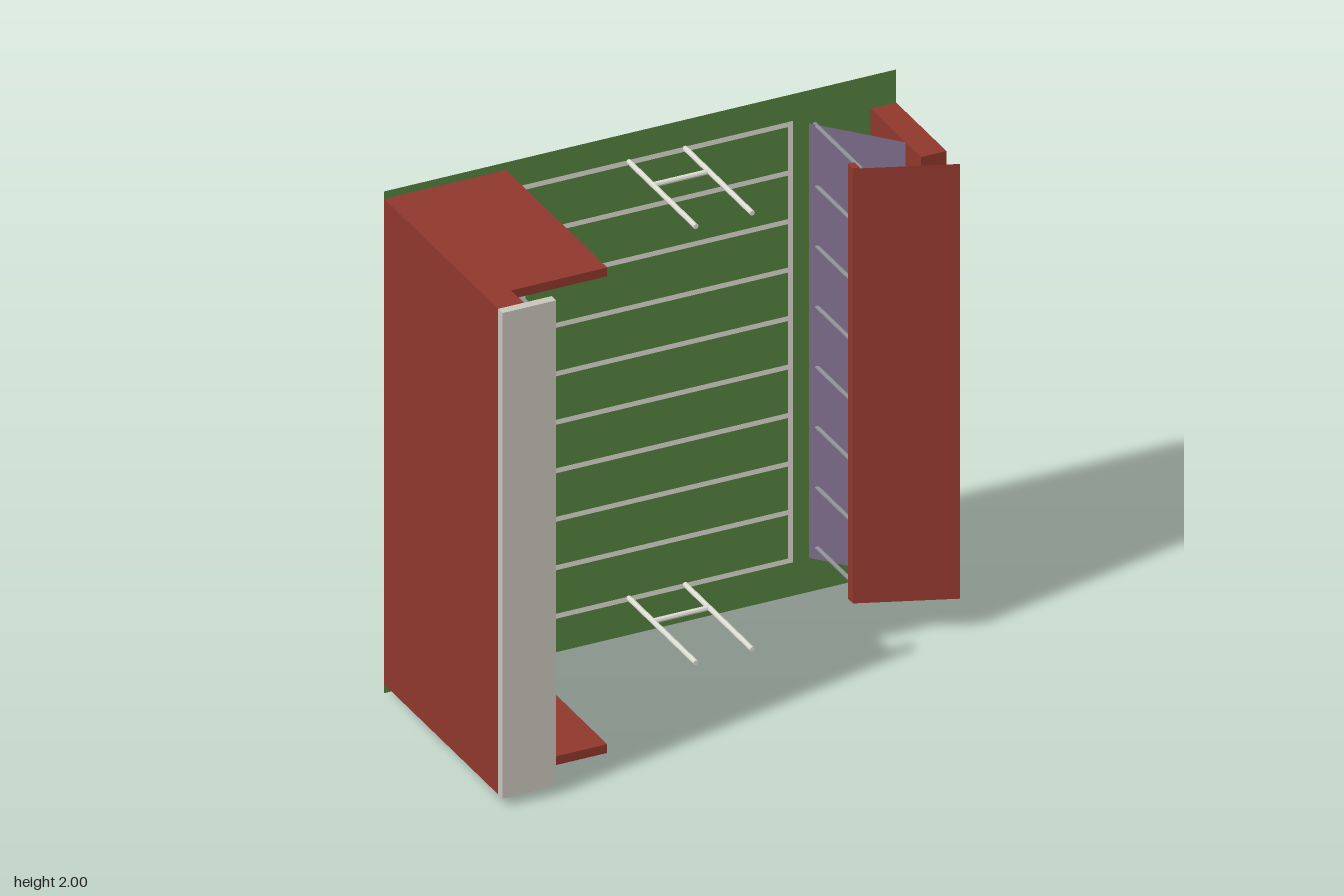
import * as THREE from 'three';

const BACK = -0.465; // plane of the pitch
const mat = (color) => new THREE.MeshStandardMaterial({ color, side: THREE.DoubleSide, flatShading: true });

export function createModel() {
  const model = new THREE.Group();
  const green = mat(0x54823e), red = mat(0x8f372d), purple = mat(0x7a6a88);
  const cream = mat(0xc8c4bb), white = mat(0xdcdcd2), steel = mat(0x8c8f94);

  const add = (name, geometry, material, parent = model) => {
    const mesh = new THREE.Mesh(geometry, material);
    mesh.name = name;
    parent.add(mesh);
    return mesh;
  };
  // box from its min/max on each axis
  const box = (name, x0, x1, y0, y1, z0, z1, material, parent) =>
    add(name, new THREE.BoxGeometry(x1 - x0, y1 - y0, z1 - z0), material, parent)
      .position.set((x0 + x1) / 2, (y0 + y1) / 2, (z0 + z1) / 2);
  // round post running along z
  const post = (name, x, y, z0, z1, r, material, parent) => {
    const geometry = new THREE.CylinderGeometry(r, r, z1 - z0, 8).rotateX(Math.PI / 2);
    add(name, geometry, material, parent).position.set(x, y, (z0 + z1) / 2);
  };
  // thin sloping sheet between two (x, z) edges
  const slope = (name, xa, za, xb, zb, y0, y1, material, parent) => {
    const geometry = new THREE.PlaneGeometry(Math.hypot(xb - xa, zb - za), y1 - y0);
    const mesh = add(name, geometry, material, parent);
    mesh.position.set((xa + xb) / 2, (y0 + y1) / 2, (za + zb) / 2);
    mesh.rotation.y = -Math.atan2(zb - za, xb - xa);
  };
  const group = (name) => {
    const g = new THREE.Group();
    g.name = name;
    model.add(g);
    return g;
  };

  // pitch
  add('pitch', new THREE.PlaneGeometry(2, 2), green).position.set(0, 1, BACK);

  // painted lines
  const lines = group('pitchLines');
  const line = (w, h, x, y) =>
    add('pitchLine', new THREE.PlaneGeometry(w, h), white, lines).position.set(x, y, BACK + 0.003);
  for (let i = 0; i < 10; i++) line(1.066, 0.02, 0.063, 0.145 + i * 0.1933);
  for (const x of [-0.46, 0.586]) line(0.02, 1.76, x, 1.015);

  // goals: two uprights and a crossbar
  for (const y of [0.148, 1.887]) {
    const goal = group('goal');
    for (const x of [-0.045, 0.175]) post('goalUpright', x, y, BACK, 0.065, 0.01, white, goal);
    const bar = new THREE.CylinderGeometry(0.01, 0.01, 0.22, 8).rotateZ(Math.PI / 2);
    add('goalCrossbar', bar, white, goal).position.set(0.065, y, -0.275);
  }

  // large stand
  const big = group('largeStand');
  box('largeBackWall', -1, -0.9, 0.035, 1.97, BACK, 0.43, red, big);
  for (const y of [0.035, 1.935]) box('endWall', -0.9, -0.524, y, y + 0.035, BACK, 0.33, red, big);
  slope('largeSeating', -0.9, 0.13, -0.55, -0.37, 0.07, 1.935, purple, big);
  box('frontBarrier', -0.55, -0.525, 0.07, 1.935, BACK, -0.37, cream, big);
  box('largeRoof', -1, -0.79, 0.035, 1.97, 0.43, 0.465, cream, big);

  // small stand
  const small = group('smallStand');
  box('smallBackWall', 0.9, 1, 0.135, 1.868, BACK, -0.07, red, small);
  slope('smallSeating', 0.66, BACK, 0.9, -0.19, 0.135, 1.868, purple, small);
  slope('smallRoof', 0.65, -0.1, 1, 0.035, 0.135, 1.868, red, small);
  box('roofLip', 0.65, 0.675, 0.135, 1.868, -0.14, -0.1, red, small);

  // roof posts of both stands
  for (let i = 0; i < 8; i++) {
    const y = 0.18 + i * 0.24;
    post('largeRoofPost', -0.8, y, 0.13, 0.43, 0.008, steel, big);
    post('smallRoofPost', 0.682, y, BACK, -0.095, 0.008, steel, small);
  }
  return model;
}
